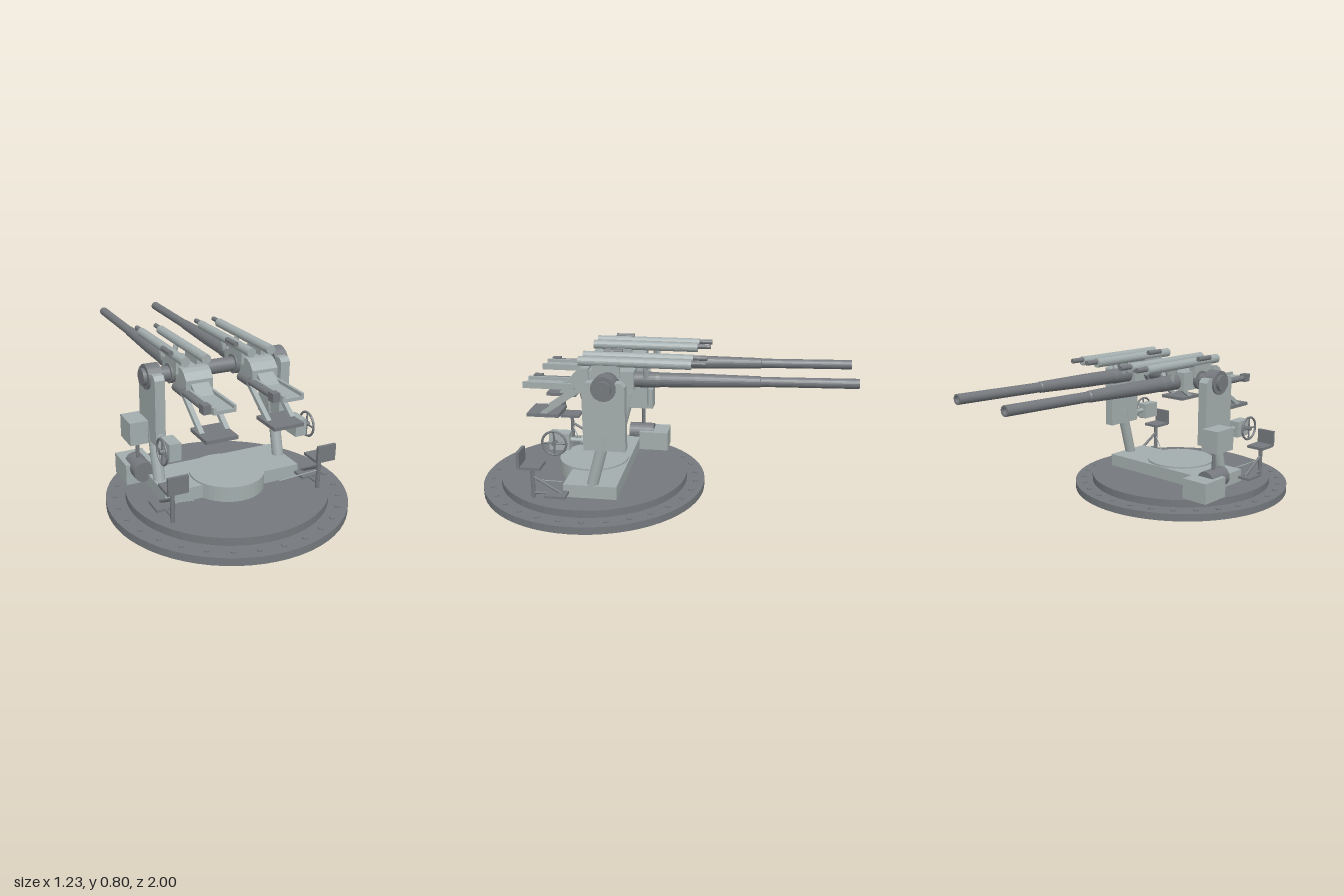
import * as THREE from 'three';

const light = new THREE.MeshStandardMaterial({ color: 0xa3adad, flatShading: true });
const dark = new THREE.MeshStandardMaterial({ color: 0x75797d, flatShading: true });
const smooth = new THREE.MeshStandardMaterial({ color: 0x75797d, side: THREE.DoubleSide });
const V = (x, y, z) => new THREE.Vector3(x, y, z);

function add(parent, name, geo, mat) {
  const m = new THREE.Mesh(geo, mat);
  m.name = name;
  parent.add(m);
  return m;
}
// box from its minimum and maximum on each axis
function box(parent, name, [x0, x1], [y0, y1], [z0, z1], mat = light) {
  const m = add(parent, name, new THREE.BoxGeometry(x1 - x0, y1 - y0, z1 - z0), mat);
  m.position.set((x0 + x1) / 2, (y0 + y1) / 2, (z0 + z1) / 2);
  return m;
}
// cylinder between two points
function rod(parent, name, a, b, r, mat = light, sides = 20) {
  const d = b.clone().sub(a);
  const m = add(parent, name, new THREE.CylinderGeometry(r, r, d.length(), sides), mat);
  m.position.copy(a).add(b).multiplyScalar(0.5);
  m.quaternion.setFromUnitVectors(V(0, 1, 0), d.normalize());
  return m;
}
// side profile of [z, y] points, extruded along x
function profile(parent, name, pts, x0, x1, mat = light) {
  const shape = new THREE.Shape(pts.map(([z, y]) => new THREE.Vector2(-z, y)));
  const geo = new THREE.ExtrudeGeometry(shape, { depth: x1 - x0, bevelEnabled: false });
  geo.rotateY(Math.PI / 2).translate(x0, 0, 0);
  return add(parent, name, geo, mat);
}

function buildBase() {
  const g = new THREE.Group();
  g.name = 'base';
  const c = 0.378;
  rod(g, 'baseFlange', V(0, 0, c), V(0, 0.04, c), 0.617, dark, 64);
  rod(g, 'baseDeck', V(0, 0.04, c), V(0, 0.08, c), 0.518, dark, 64);
  rod(g, 'centreDrum', V(0, 0.08, c), V(0, 0.16, c), 0.192, light, 40);
  box(g, 'crossPlatform', [-0.375, 0.375], [0.08, 0.15], [0.18, 0.46]);
  for (let i = 0; i < 30; i++) {
    const a = (i / 30) * Math.PI * 2, x = Math.sin(a) * 0.568, z = c + Math.cos(a) * 0.568;
    rod(g, 'flangeBolt', V(x, 0.038, z), V(x, 0.046, z), 0.014, dark, 8);
  }
  return g;
}

// one side of the carriage, built at +x
function buildSide() {
  const g = new THREE.Group();
  rod(g, 'slantedLeg', V(0.343, 0.13, 0.315), V(0.343, 0.43, 0.235), 0.03);
  profile(g, 'sidePlate', [[0.345, 0.345], [0.345, 0.68], [0.325, 0.7], [0.15, 0.7], [0.13, 0.68], [0.13, 0.345]], 0.318, 0.37);
  rod(g, 'bearingCap', V(0.31, 0.672, 0.235), V(0.38, 0.672, 0.235), 0.063, dark, 28);
  rod(g, 'trunnionEnd', V(0.37, 0.672, 0.235), V(0.398, 0.672, 0.235), 0.042, dark, 24);

  // aiming gear and handwheel
  box(g, 'gearBox', [0.312, 0.373], [0.34, 0.428], [0.415, 0.52]);
  rod(g, 'gearShaft', V(0.343, 0.388, 0.34), V(0.343, 0.388, 0.42), 0.013);
  rod(g, 'gearCollar', V(0.343, 0.388, 0.34), V(0.343, 0.388, 0.36), 0.022);
  rod(g, 'wheelAxle', V(0.37, 0.385, 0.487), V(0.41, 0.385, 0.487), 0.012, dark, 12);
  const wheel = new THREE.Group();
  wheel.name = 'handwheel';
  add(wheel, 'wheelRim', new THREE.TorusGeometry(0.062, 0.006, 8, 28), dark);
  for (let i = 0; i < 2; i++) {
    const a = (i * Math.PI) / 2, x = Math.cos(a) * 0.06, y = Math.sin(a) * 0.06;
    rod(wheel, 'wheelSpoke', V(-x, -y, 0), V(x, y, 0), 0.005, dark, 6);
  }
  wheel.rotation.y = Math.PI / 2;
  wheel.position.set(0.397, 0.385, 0.487);
  g.add(wheel);

  // operator seat with footrest
  rod(g, 'seatPost', V(0.4, 0.08, 0.61), V(0.4, 0.255, 0.61), 0.011, dark, 12);
  box(g, 'seatPan', [0.345, 0.447], [0.25, 0.265], [0.555, 0.665], dark);
  box(g, 'seatBack', [0.345, 0.447], [0.255, 0.342], [0.66, 0.676], dark);
  box(g, 'footrest', [0.355, 0.45], [0.102, 0.115], [0.43, 0.54], dark);
  rod(g, 'footrestBrace', V(0.4, 0.2, 0.61), V(0.4, 0.112, 0.46), 0.008, dark, 8);
  rod(g, 'footrestArm', V(0.4, 0.108, 0.61), V(0.4, 0.108, 0.5), 0.008, dark, 8);
  rod(g, 'stayWire', V(0.4, 0.18, 0.61), V(0.24, 0.1, 0.5), 0.003, light, 6);
  return g;
}

// power drive, only on the -x side
function buildDrive() {
  const g = new THREE.Group();
  g.name = 'powerDrive';
  box(g, 'lowerDriveBox', [-0.47, -0.32], [0.08, 0.19], [0.01, 0.18]);
  rod(g, 'driveMotor', V(-0.397, 0.168, 0.1), V(-0.397, 0.168, 0.245), 0.053, dark, 24);
  rod(g, 'driveShaft', V(-0.4, 0.2, 0.165), V(-0.4, 0.34, 0.165), 0.01, dark, 10);
  box(g, 'upperDriveBox', [-0.465, -0.365], [0.325, 0.445], [0.105, 0.245]);
  return g;
}

// one gun, built around x = 0
function buildGun() {
  const g = new THREE.Group();
  // hollow stepped barrel, slightly raised
  const pts = [[0, 0.01], [0.04, 0], [0.04, 0.2], [0.037, 0.22], [0.036, 0.4], [0.028, 0.72], [0.025, 0.725],
    [0.025, 1.2], [0.016, 1.2], [0.016, 1.1], [0, 1.1]];
  const lathe = new THREE.LatheGeometry(pts.map(([r, y]) => new THREE.Vector2(r, y)), 24);
  const barrel = add(g, 'barrel', lathe, smooth);
  barrel.material = dark;
  barrel.position.set(0, 0.667, 0.2);
  barrel.rotation.x = -Math.PI / 2 + 0.0205;

  // receiver and breech
  box(g, 'receiver', [-0.057, 0.057], [0.625, 0.722], [0.11, 0.4]);
  profile(g, 'breech', [[0.43, 0.63], [0.43, 0.69], [0.4, 0.722], [0.375, 0.735], [0.34, 0.735], [0.34, 0.63]], -0.07, 0.07);
  profile(g, 'breechRamp', [[0.5, 0.63], [0.42, 0.68], [0.42, 0.63]], -0.045, 0.045);

  // loading tray
  box(g, 'trayFloor', [-0.055, 0.055], [0.615, 0.632], [0.42, 0.69]);
  for (const s of [-1, 1]) {
    const x = s * 0.05;
    box(g, 'trayLip', [x - 0.007, x + 0.007], [0.615, 0.648], [0.42, 0.69]);
  }
  rod(g, 'rammerTube', V(-0.073, 0.632, 0.32), V(-0.073, 0.632, 0.66), 0.016, dark, 16);
  rod(g, 'rammerHead', V(-0.073, 0.632, 0.32), V(-0.073, 0.632, 0.42), 0.024, dark, 16);
  box(g, 'rammerBlock', [-0.093, -0.055], [0.612, 0.655], [0.62, 0.665], dark);

  // twin recoil cylinders on brackets
  for (const s of [-1, 1]) {
    const x = s * 0.0545;
    rod(g, 'recoilCylinder', V(x, 0.77, 0.39), V(x, 0.77, -0.18), 0.024, light, 20);
    rod(g, 'recoilRod', V(x, 0.777, -0.17), V(x, 0.777, -0.25), 0.013, dark, 14);
    box(g, 'rearBracket', [x - 0.018, x + 0.018], [0.69, 0.765], [0.18, 0.32]);
    rod(g, 'frontBracket', V(x * 0.9, 0.76, 0.05), V(x * 0.45, 0.68, 0.05), 0.014, light, 12);
    // struts carrying the loader's step
    const strut = box(g, 'stepStrut', [-0.012, 0.012], [-0.011, 0.011], [-0.135, 0.135]);
    strut.position.set(s * 0.065, 0.56, 0.478);
    strut.rotation.x = Math.atan2(0.15, 0.22);
  }
  box(g, 'strutMount', [-0.078, 0.078], [0.605, 0.63], [0.33, 0.4]);
  box(g, 'loaderStep', [-0.081, 0.081], [0.469, 0.487], [0.5, 0.67], dark);
  rod(g, 'sightTube', V(-0.086, 0.789, 0.19), V(-0.086, 0.789, 0.29), 0.013, dark, 14);
  for (const s of [-1, 1])
    rod(g, 'trunnionCollar', V(s * 0.055, 0.672, 0.235), V(s * 0.08, 0.672, 0.235), 0.05, dark, 24);
  return g;
}

export function createModel() {
  const model = new THREE.Group();
  model.name = 'twinGunMount';
  model.add(buildBase(), buildDrive());
  rod(model, 'trunnionTube', V(-0.37, 0.672, 0.235), V(0.37, 0.672, 0.235), 0.038, dark, 24);

  const left = buildSide(), right = buildSide();
  left.name = 'leftCarriage';
  right.name = 'rightCarriage';
  right.scale.x = -1;

  const leftGun = buildGun(), rightGun = buildGun();
  leftGun.name = 'leftGun';
  rightGun.name = 'rightGun';
  leftGun.position.x = 0.175;
  rightGun.position.x = -0.177;
  model.add(left, right, leftGun, rightGun);
  return model;
}
